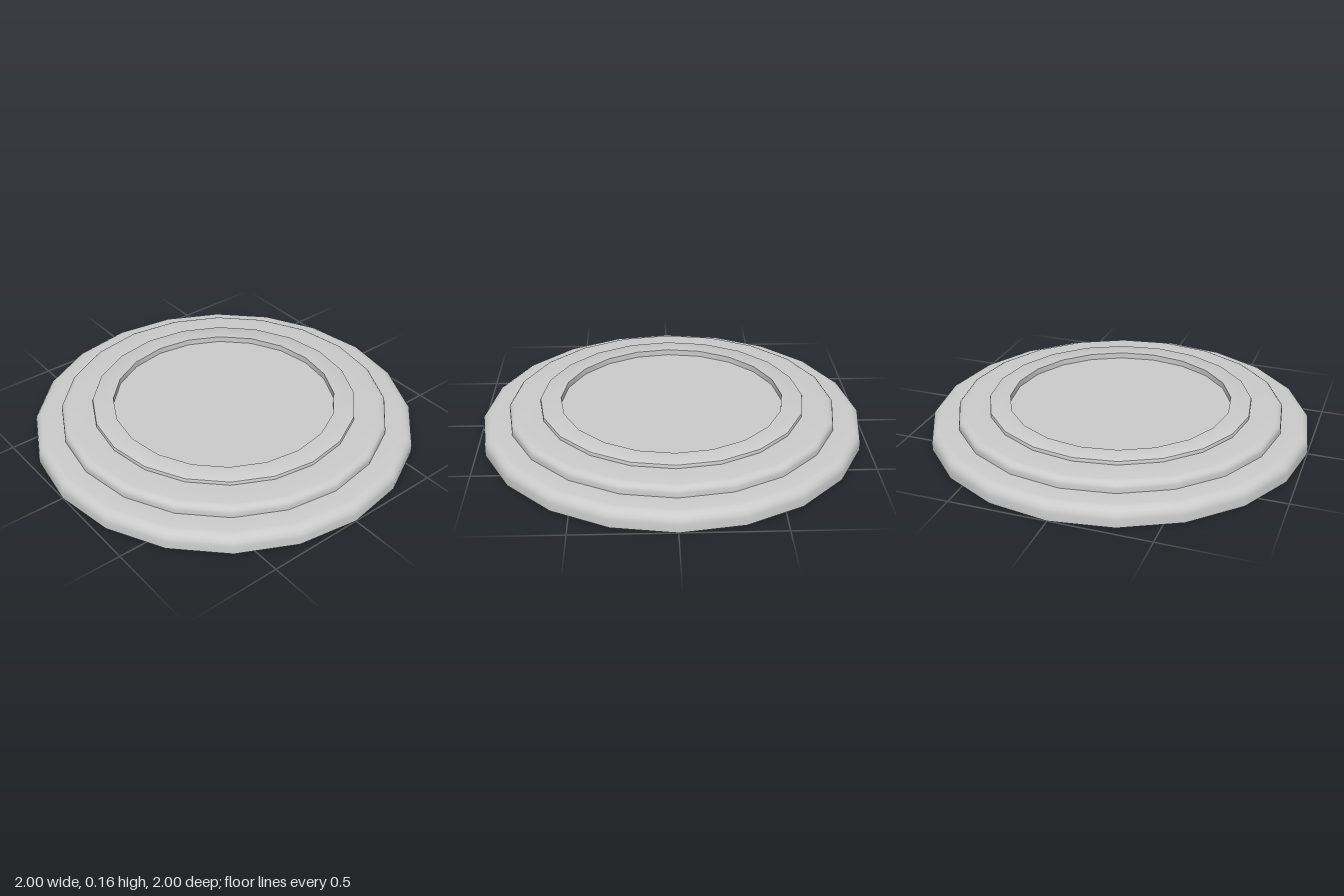
import * as THREE from 'three';
import { toCreasedNormals } from 'three/addons/utils/BufferGeometryUtils.js';

const SIDES = 20;
const material = new THREE.MeshStandardMaterial({ color: 0xcccccc, side: THREE.DoubleSide });

// One open-bottomed step: wall, rounded shoulder, then a flat ledge inwards
function tier(name, radius, bottom, top, roundX, roundY, inner, steps) {
  const profile = [new THREE.Vector2(radius, bottom)];
  for (let i = 0; i <= steps; i++) {
    const a = (i / steps) * Math.PI / 2;
    profile.push(new THREE.Vector2(
      radius - roundX * (1 - Math.cos(a)),
      top - roundY * (1 - Math.sin(a))
    ));
  }
  profile.push(new THREE.Vector2(inner, top));
  const mesh = new THREE.Mesh(toCreasedNormals(new THREE.LatheGeometry(profile, SIDES), 0.6), material);
  mesh.name = name;
  return mesh;
}

export function createModel() {
  const group = new THREE.Group();
  group.name = 'steppedDisc';

  // Three steps forming one thin shell
  group.add(
    tier('baseTier', 1, 0, 0.09, 0.055, 0.05, 0.855, 4),
    tier('middleTier', 0.857, 0.09, 0.143, 0.04, 0.03, 0.692, 4),
    tier('topRim', 0.692, 0.143, 0.163, 0.006, 0.006, 0.583, 2)
  );

  // Wall dropping from the rim into the recess, facing the centre
  const wallProfile = [new THREE.Vector2(0.583, 0.163), new THREE.Vector2(0.583, 0.131)];
  const wall = new THREE.Mesh(toCreasedNormals(new THREE.LatheGeometry(wallProfile, SIDES), 0.6), material);
  wall.name = 'recessWall';

  // Flat floor of the recess
  const floor = new THREE.Mesh(new THREE.CircleGeometry(0.583, SIDES).rotateX(-Math.PI / 2), material);
  floor.position.y = 0.131;
  floor.name = 'recessFloor';

  group.add(wall, floor);
  return group;
}
